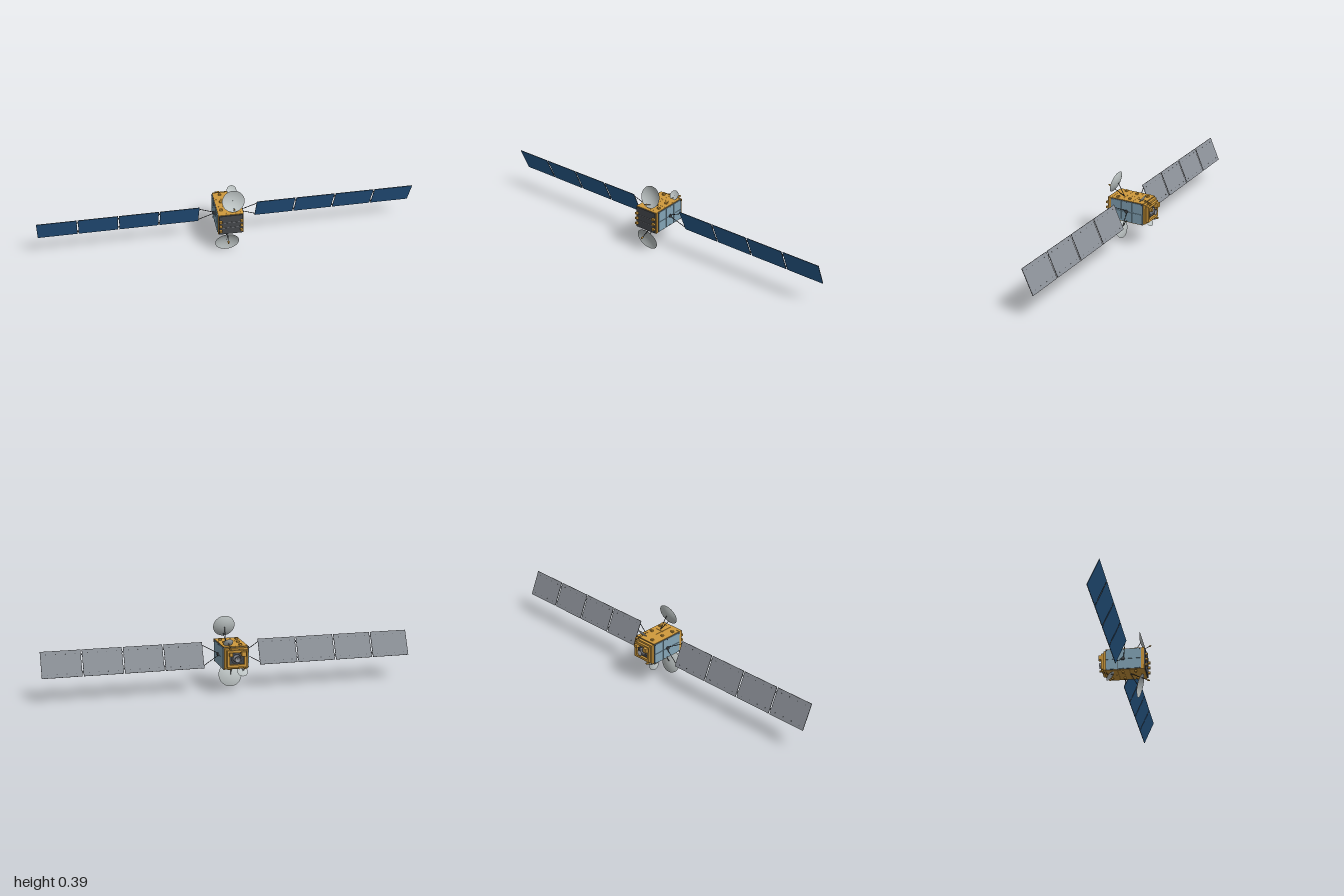
import * as THREE from 'three';

const paint = (name, color, side = THREE.FrontSide) => {
  const m = new THREE.MeshStandardMaterial({ color, side });
  m.name = name;
  return m;
};

export function createModel() {
  const gold = paint('gold foil', 0xd09a3c);
  const blue = paint('solar cell blue', 0x2a5f92);
  const radiator = paint('radiator blue grey', 0x84a5b7);
  const grey = paint('panel back grey', 0x8c9198);
  const dark = paint('dark grey', 0x45484c);
  const pale = paint('dish grey', 0xbfc6c6, THREE.DoubleSide);
  const metal = paint('nozzle grey', 0x85878d, THREE.DoubleSide);

  const model = new THREE.Group();
  model.name = 'satellite';
  const V = (x, y, z) => new THREE.Vector3(x, y, z);
  const UP = V(0, 1, 0);

  const add = (parent, name, geo, mat, x = 0, y = 0, z = 0) => {
    const m = new THREE.Mesh(geo, mat);
    m.name = name;
    m.position.set(x, y, z);
    parent.add(m);
    return m;
  };
  const box = (parent, name, mat, w, h, d, x, y, z) =>
    add(parent, name, new THREE.BoxGeometry(w, h, d), mat, x, y, z);
  // round bar between two points
  const rod = (parent, name, mat, a, b, r = 0.0014) => {
    const dir = b.clone().sub(a);
    const m = add(parent, name, new THREE.CylinderGeometry(r, r, dir.length(), 8), mat);
    m.position.copy(a).add(b).multiplyScalar(0.5);
    m.quaternion.setFromUnitVectors(UP, dir.normalize());
    return m;
  };

  // ---- body ----
  const body = new THREE.Group();
  body.name = 'body';
  model.add(body);
  const CY = 0.2;
  box(body, 'bodyCore', gold, 0.13, 0.114, 0.2, 0, CY, 0.006);
  box(body, 'frontCollar', gold, 0.134, 0.122, 0.016, 0, CY, 0.1015);
  box(body, 'frontPlate', dark, 0.126, 0.116, 0.006, 0, CY, 0.1125);
  for (const s of [-1, 1]) {
    // side radiators and foil covers, each split into six tiles over a dark seam
    box(body, 'sideSeam', dark, 0.003, 0.116, 0.188, s * 0.0655, CY, -0.001);
    box(body, 'foilSeam', dark, 0.13, 0.003, 0.188, 0, CY + s * 0.0575, -0.001);
    for (const z of [0.062, -0.001, -0.064]) {
      for (const t of [-1, 1]) {
        box(body, 'radiatorTile', radiator, 0.004, 0.0555, 0.0615, s * 0.068, CY + t * 0.0286, z);
        box(body, 'foilTile', gold, 0.065, 0.003, 0.0622, t * 0.0328, CY + s * 0.0594, z);
        const bolt = add(body, 'bolt', new THREE.CylinderGeometry(0.0025, 0.0025, 0.002, 8), dark,
          s * 0.0705, CY + t * 0.0535, z === -0.001 ? z : z * 1.4);
        bolt.rotation.z = Math.PI / 2;
      }
    }
    // foil boxes on the top, bottom and front
    for (const [x, z] of [[-0.045, 0.063], [0.045, 0.063], [-0.035, -0.005], [0.04, -0.005], [-0.03, -0.072]])
      box(body, 'equipmentBox', gold, 0.014, 0.01, 0.012, x * s, CY + s * 0.0642, z);
    for (const y of [0.225, 0.196, 0.166])
      box(body, 'frontBox', gold, 0.014, 0.011, 0.015, s * 0.055, y, 0.12);
    for (const y of [0.215, 0.183])
      box(body, 'frontRib', metal, 0.05, 0.002, 0.002, s * 0.022, y, 0.116);
  }

  // ---- rear deck and engine ----
  box(body, 'rearDeck', gold, 0.124, 0.108, 0.014, 0, CY, -0.101);
  box(body, 'rearSeam', dark, 0.1, 0.09, 0.003, 0, CY, -0.1085);
  for (const s of [-1, 1]) {
    box(body, 'rearRail', gold, 0.014, 0.09, 0.014, s * 0.046, CY, -0.115);
    box(body, 'rearCrossRail', gold, 0.078, 0.013, 0.014, 0, CY + s * 0.0385, -0.115);
  }
  box(body, 'rearTank', gold, 0.024, 0.024, 0.028, -0.034, 0.227, -0.123);
  box(body, 'rearTank', gold, 0.018, 0.018, 0.026, 0.034, 0.225, -0.122);
  const nozzle = add(body, 'engineNozzle', new THREE.LatheGeometry([
    [0, 0], [0.021, 0], [0.021, 0.012], [0.012, 0.013], [0.012, 0.017], [0.017, 0.028], [0.015, 0.028], [0.008, 0.016], [0, 0.016],
  ].map(p => new THREE.Vector2(...p)), 28), metal, 0, CY, -0.109);
  nozzle.rotation.x = -Math.PI / 2;
  const ring = add(body, 'engineRing', new THREE.TorusGeometry(0.026, 0.003, 8, 28), metal, 0, CY, -0.111);
  ring.scale.z = 1.3;

  // ---- solar wings, tilted about x ----
  const PW = 0.207, PH = 0.14, STEP = 0.2135;
  for (const s of [-1, 1]) {
    const wing = new THREE.Group();
    wing.name = s > 0 ? 'leftWing' : 'rightWing';
    wing.position.set(0, 0.201, -0.001);
    wing.rotation.x = 0.42;
    model.add(wing);
    for (let i = 0; i < 4; i++) {
      const x = s * (0.256 + i * STEP);
      box(wing, 'panelFrame', dark, PW, PH, 0.002, x, 0, 0);
      box(wing, 'solarCells', blue, PW - 0.003, PH - 0.003, 0.001, x, 0, 0.0013);
      box(wing, 'panelBack', grey, PW - 0.002, PH - 0.002, 0.001, x, 0, -0.0013);
      for (const t of [-1, 1]) {
        for (const dx of [-0.075, -0.025, 0.025, 0.075])
          box(wing, 'panelStud', dark, 0.004, 0.004, 0.001, x + dx, t * 0.052, -0.002);
        if (i < 3) box(wing, 'panelHinge', dark, 0.009, 0.008, 0.004, x + s * STEP / 2, t * 0.045, 0);
      }
    }
    // forked yoke
    for (const t of [-1, 1])
      rod(wing, 'yokeArm', dark, V(s * 0.072, t * 0.006, 0), V(s * 0.154, t * 0.055, 0), 0.0018);
    const hub = add(wing, 'wingHub', new THREE.CylinderGeometry(0.009, 0.009, 0.012, 16), dark, s * 0.071, 0, 0);
    hub.rotation.z = Math.PI / 2;
  }

  // ---- dish antennas: rim centre, facing direction, feed and mount points ----
  const dish = (name, c, n, r, depth, feed, root) => {
    const g = new THREE.Group();
    g.name = name;
    model.add(g);
    n.normalize();
    const profile = [];
    for (let i = 0; i <= 8; i++) profile.push(new THREE.Vector2(r * i / 8, depth * ((i / 8) ** 2 - 1)));
    const q = new THREE.Quaternion().setFromUnitVectors(UP, n);
    add(g, 'reflector', new THREE.LatheGeometry(profile, 36), pale).position.copy(c);
    g.children[0].quaternion.copy(q);
    const back = c.clone().addScaledVector(n, -depth);
    rod(g, 'dishStrut', dark, root, back, r * 0.03);
    rod(g, 'feedArm', dark, root, feed, r * 0.03);
    const horn = add(g, 'feedHorn', new THREE.CylinderGeometry(r * 0.05, r * 0.08, r * 0.2, 10), gold);
    horn.position.copy(feed);
    horn.quaternion.setFromUnitVectors(UP, feed.clone().sub(root).normalize());
  };
  dish('upperDish', V(0.015, 0.332, 0.094), V(0, 0.032, 0.11), 0.059, 0.015,
    V(0.015, 0.305, 0.132), V(0.02, 0.262, 0.04));
  dish('lowerDish', V(-0.016, 0.064, 0.083), V(0, -0.034, 0.12), 0.064, 0.015,
    V(-0.016, 0.092, 0.126), V(-0.01, 0.14, 0.03));
  dish('upperSmallDish', V(0.036, 0.279, -0.079), V(0, 0.025, 0.034), 0.026, 0.005,
    V(0.036, 0.27, -0.058), V(0.036, 0.257, -0.128));
  dish('lowerSmallDish', V(-0.042, 0.118, -0.074), V(0, -0.04, 0.043), 0.029, 0.005,
    V(-0.042, 0.125, -0.056), V(-0.042, 0.145, -0.128));
  // small dish mounts
  box(model, 'upperDishMount', gold, 0.008, 0.008, 0.024, 0.036, 0.254, -0.118);
  box(model, 'lowerDishMount', gold, 0.008, 0.008, 0.024, -0.042, 0.148, -0.118);

  return model;
}
